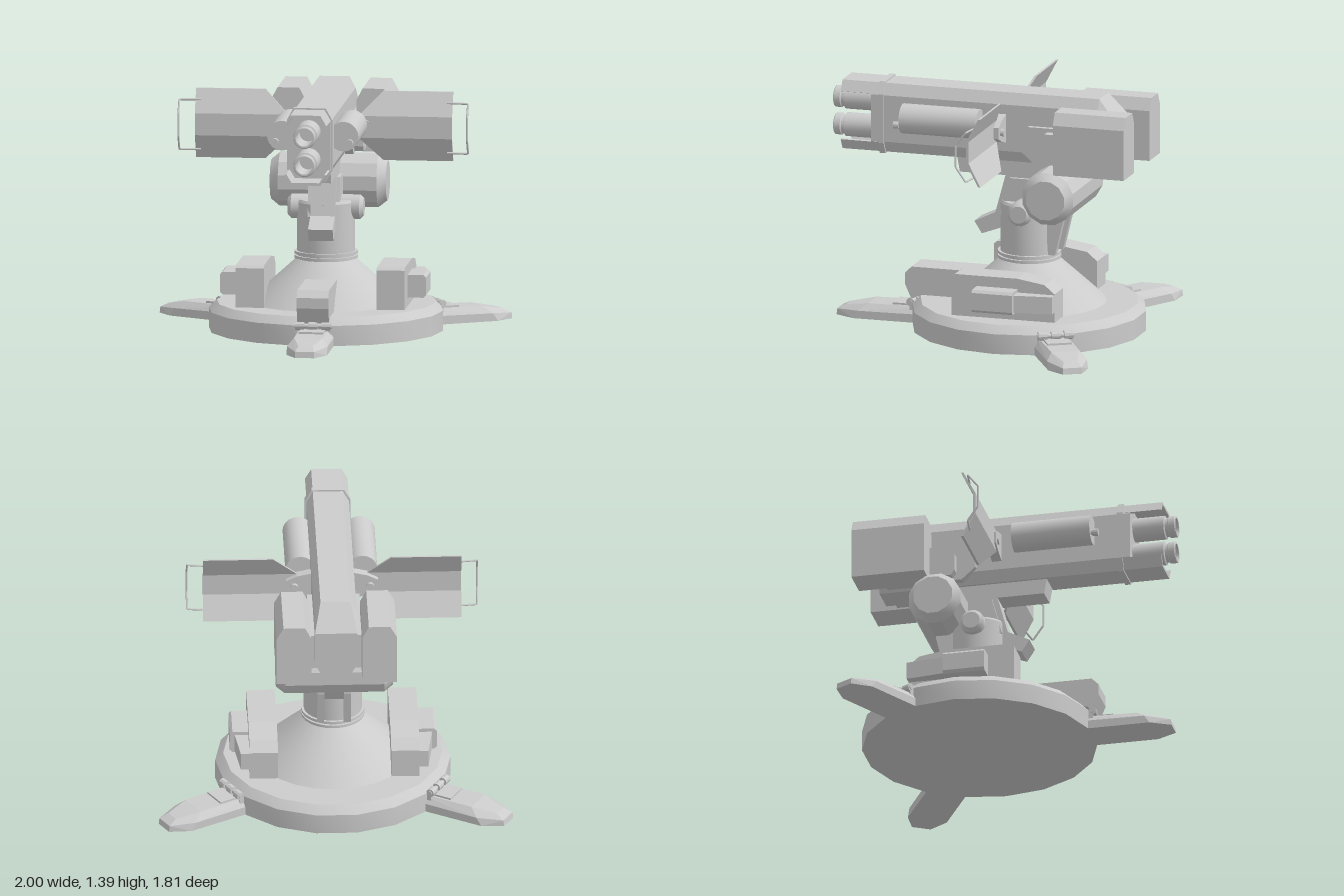
import * as THREE from 'three';
import { toCreasedNormals } from 'three/addons/utils/BufferGeometryUtils.js';
import { ConvexGeometry } from 'three/addons/geometries/ConvexGeometry.js';

const mat = new THREE.MeshStandardMaterial({ color: 0xcccccc });
const V = (x, y, z) => new THREE.Vector3(x, y, z);
const CZ = -0.24; // z of the turning axis

export function createModel() {
  const root = new THREE.Group();
  root.name = 'twinBarrelTurret';

  const add = (name, geo, parent = root) => {
    const m = new THREE.Mesh(geo, mat);
    m.name = name;
    parent.add(m);
    return m;
  };
  // box from min/max corners
  const box = (name, x0, x1, y0, y1, z0, z1, parent) =>
    add(name, new THREE.BoxGeometry(x1 - x0, y1 - y0, z1 - z0)
      .translate((x0 + x1) / 2, (y0 + y1) / 2, (z0 + z1) / 2), parent);
  const shapeOf = pts => new THREE.Shape(pts.map(p => new THREE.Vector2(...p)));
  // (x, y) outline extruded along z
  const slabZ = (pts, z0, z1) =>
    new THREE.ExtrudeGeometry(shapeOf(pts), { depth: z1 - z0, bevelEnabled: false }).translate(0, 0, z0);
  // (z, y) outline extruded along x
  const slabX = (pts, x0, x1) =>
    new THREE.ExtrudeGeometry(shapeOf(pts), { depth: x1 - x0, bevelEnabled: false })
      .rotateY(-Math.PI / 2).translate(x1, 0, 0);
  // (radius, height) profile turned around y
  const turned = (pts, sides) =>
    toCreasedNormals(new THREE.LatheGeometry(pts.map(p => new THREE.Vector2(...p)), sides), 0.5);
  const turnedX = (pts, sides) => turned(pts, sides).rotateZ(-Math.PI / 2);
  const turnedZ = (pts, sides) => turned(pts, sides).rotateX(Math.PI / 2);

  // ---- Base disc, cone and column
  add('baseDisc', turned([[0, 0], [0.665, 0], [0.665, 0.115], [0.62, 0.16], [0, 0.16]], 18)
    .rotateY(Math.PI / 18).translate(0, 0, CZ));
  add('baseCone', turned([[0.45, 0.15], [0.32, 0.27], [0.17, 0.405], [0, 0.405]], 24).translate(0, 0, CZ));
  add('column', turned([[0.165, 0.39], [0.165, 0.73], [0.155, 0.745], [0, 0.745]], 24).translate(0, 0, CZ));
  for (const y of [0.41, 0.435])
    add('columnRing', turned([[0.15, y], [0.18, y], [0.18, y + 0.016], [0.15, y + 0.016]], 24).translate(0, 0, CZ));

  // ---- Three hinged legs
  for (const turn of [0, 1, 2]) {
    const leg = new THREE.Group();
    leg.name = ['frontLeg', 'leftRearLeg', 'rightRearLeg'][turn];
    leg.position.z = CZ;
    leg.rotation.y = turn * Math.PI * 2 / 3;
    root.add(leg);
    const pts = [];
    for (const s of [-1, 1])
      for (const [w, y, r] of [[0.115, 0, 0.55], [0.115, 0, 1.01], [0.055, 0, 1.125], [0.115, 0.05, 0.55],
        [0.115, 0.045, 0.98], [0.055, 0.035, 1.12], [0.085, 0.09, 0.55], [0.08, 0.085, 0.93], [0.04, 0.06, 1.07]])
        pts.push(V(s * w, y, r));
    add('foot', new ConvexGeometry(pts), leg);
    box('hingePlate', -0.07, 0.07, 0.07, 0.098, 0.68, 0.79, leg);
    box('hingeBlock', -0.1, 0.1, 0.06, 0.105, 0.63, 0.68, leg);
    add('hingePin', turnedX([[0, -0.105], [0.013, -0.105], [0.013, 0.105], [0, 0.105]], 10)
      .translate(0, 0.115, 0.675), leg);
    for (const x of [-0.075, 0, 0.075])
      add('hingeKnuckle', turnedX([[0, -0.025], [0.024, -0.025], [0.024, 0.025], [0, 0.025]], 10)
        .translate(x, 0.115, 0.675), leg);
  }

  // ---- Housings on the base
  add('frontHousing', slabX([[-0.1, 0.15], [0.4, 0.15], [0.43, 0.13], [0.47, 0.22], [0.47, 0.28],
    [0.43, 0.32], [-0.1, 0.32]].reverse(), -0.09, 0.09));
  for (const s of [-1, 1]) {
    const [a, b] = s > 0 ? [0.32, 0.48] : [-0.48, -0.32];
    add('sideHousing', slabX([[0.07, 0.15], [0.07, 0.385], [0.05, 0.4], [-0.32, 0.4], [-0.48, 0.375],
      [-0.54, 0.325], [-0.54, 0.15]], a, b));
    add('sidePod', new ConvexGeometry([-0.32, -0.08].flatMap(z => [[0.46, 0.21], [0.57, 0.21], [0.585, 0.225],
      [0.585, 0.325], [0.57, 0.34], [0.46, 0.34]].map(p => V(s * p[0], p[1], z)))));
    add('rearPod', new ConvexGeometry([[-0.3, 0.56], [-0.54, 0.53]].flatMap(([z, x]) =>
      [[0.46, 0.22], [x, 0.22], [x, 0.32], [0.46, 0.32]].map(p => V(s * p[0], p[1], z)))));
  }

  // ---- Neck, elevation drum and trunnion
  add('neck', slabX([[0.17, 1.0], [0.15, 0.89], [-0.12, 0.89], [-0.06, 0.67], [0.065, 0.61], [0.02, 0.54],
    [-0.1, 0.585], [-0.42, 0.6], [-0.5, 0.72], [-0.45, 1.0]], -0.07, 0.07));
  add('neckCollar', slabX([[-0.09, 0.66], [-0.39, 0.66], [-0.46, 0.72], [-0.4, 0.88], [-0.15, 0.88]], -0.09, 0.09));
  add('elevationDrum', turnedX([[0, -0.33], [0.115, -0.33], [0.155, -0.28], [0.155, 0.28], [0.115, 0.33], [0, 0.33]], 12)
    .rotateX(Math.PI / 12).translate(0, 0.825, -0.436));
  add('trunnion', turnedX([[0, -0.215], [0.05, -0.215], [0.07, -0.195], [0.07, 0.195], [0.05, 0.215], [0, 0.215]], 14)
    .translate(0, 0.7, CZ));
  for (const s of [-1, 1])
    add('rearStrut', slabX([[-0.36, 0.7], [-0.47, 0.7], [-0.47, 0.66], [-0.42, 0.45], [-0.38, 0.45]],
      s * 0.075 - 0.02, s * 0.075 + 0.02));

  // ---- Gun body with sloped rear
  const MID = 1.178;
  const section = [[0.085, 0.2], [0.12, 0.135], [0.12, -0.135], [0.085, -0.2],
    [-0.085, -0.2], [-0.12, -0.135], [-0.12, 0.135], [-0.085, 0.2]];
  const bodyPts = [];
  for (const [z, cap] of [[0.66, 2], [-0.68, 2], [-0.8, 1.24]])
    for (const [x, y] of section) bodyPts.push(V(x, Math.min(MID + y, cap), z));
  add('gunBody', new ConvexGeometry(bodyPts));
  add('bodyBand', slabZ(section.map(([x, y]) => [x * 1.08, MID + y * 1.045]).reverse(), 0.583, 0.617));
  for (const s of [-1, 1]) {
    const hood = [[-0.12, 0.14], [-0.085, 0.2], [0.085, 0.2], [0.12, 0.14], [0.108, 0.136], [0.079, 0.185],
      [-0.079, 0.185], [-0.108, 0.136]];
    add(s > 0 ? 'topHood' : 'bottomHood', slabZ(hood.map(([x, y]) => [x, MID + s * y]), 0.62, 0.84));
    // hollow barrels
    add('barrel', turnedZ([[0.068, 0.64], [0.068, 0.84], [0.055, 0.845], [0.055, 0.86], [0.062, 0.865], [0.062, 0.9],
      [0.057, 0.905], [0.048, 0.905], [0.048, 0.7], [0, 0.7]], 20).translate(0, MID + s * 0.08, 0));
  }

  // ---- Parts on both sides of the gun
  for (const s of [-1, 1]) {
    const side = new THREE.Group();
    side.name = s > 0 ? 'leftSide' : 'rightSide';
    root.add(side);
    const hull = (name, pts) => add(name, new ConvexGeometry(pts.map(([x, y, z]) => V(s * x, y, z))), side);
    const prism = (name, pts, z0, z1) => hull(name, [z0, z1].flatMap(z => pts.map(p => [...p, z])));

    add('sideTank', turnedZ([[0, 0], [0.085, 0], [0.085, 0.455], [0, 0.455]], 20).translate(s * 0.175, 1.203, 0), side);
    add('tankNozzle', turnedZ([[0.014, 0.44], [0.014, 0.465], [0.021, 0.465], [0.021, 0.497], [0, 0.497]], 10)
      .translate(s * 0.212, 1.17, 0), side);

    // rear counterweight and its mount
    prism('rearBox', [[0.145, 0.98], [0.34, 0.98], [0.34, 1.27], [0.302, 1.338], [0.18, 1.338], [0.145, 1.27]], -0.905, -0.485);
    hull('boxMount', [0.1, 0.148].flatMap(x => [[x, 0.99, -0.31], [x, 1.06, -0.23], [x, 1.15, -0.23], [x, 1.2, -0.275],
      [x, 1.2, -0.75], [x, 0.99, -0.75]]));
    hull('mountBlock', [0.14, 0.2].flatMap(x => [[x, 1.0, -0.36], [x, 1.03, -0.34], [x, 1.13, -0.34], [x, 1.178, -0.39],
      [x, 1.178, -0.5], [x, 1.0, -0.5]]));

    // folded shield wing: three panels
    const T = 0.014, mid = -0.095, back = -0.165;
    const panel = (name, pts) => hull(name, [...pts, ...pts.map(([x, y, z]) => [x, y, z - T])]);
    panel('wingMiddle', [[0.2, 1.24, mid], [0.73, 1.24, mid], [0.73, 1.115, mid], [0.2, 1.115, mid]]);
    panel('wingUpper', [[0.2, 1.24, mid], [0.73, 1.24, mid], [0.73, 1.375, back], [0.335, 1.375, back]]);
    panel('wingLower', [[0.2, 1.115, mid], [0.73, 1.115, mid], [0.73, 0.98, back], [0.335, 0.98, back]]);
    prism('wingBracket', [[0.11, 1.26], [0.2, 1.24], [0.26, 1.21], [0.26, 1.145], [0.2, 1.115], [0.11, 1.09]], -0.14, -0.085);
    add('wingPivot', turnedZ([[0, -0.16], [0.022, -0.16], [0.022, -0.075], [0, -0.075]], 12)
      .translate(s * 0.215, 1.175, 0), side);

    // bent handle at the wing tip
    const path = new THREE.CurvePath();
    const bend = [[0.7, 1.315, -0.135], [0.82, 1.315, -0.12], [0.82, 1.24, -0.06], [0.82, 1.115, -0.06],
      [0.82, 1.03, -0.12], [0.7, 1.03, -0.135]].map(([x, y, z]) => V(s * x, y, z));
    for (let i = 1; i < bend.length; i++) path.add(new THREE.LineCurve3(bend[i - 1], bend[i]));
    add('wingHandle', new THREE.TubeGeometry(path, 60, 0.006, 6), side);
  }
  return root;
}
